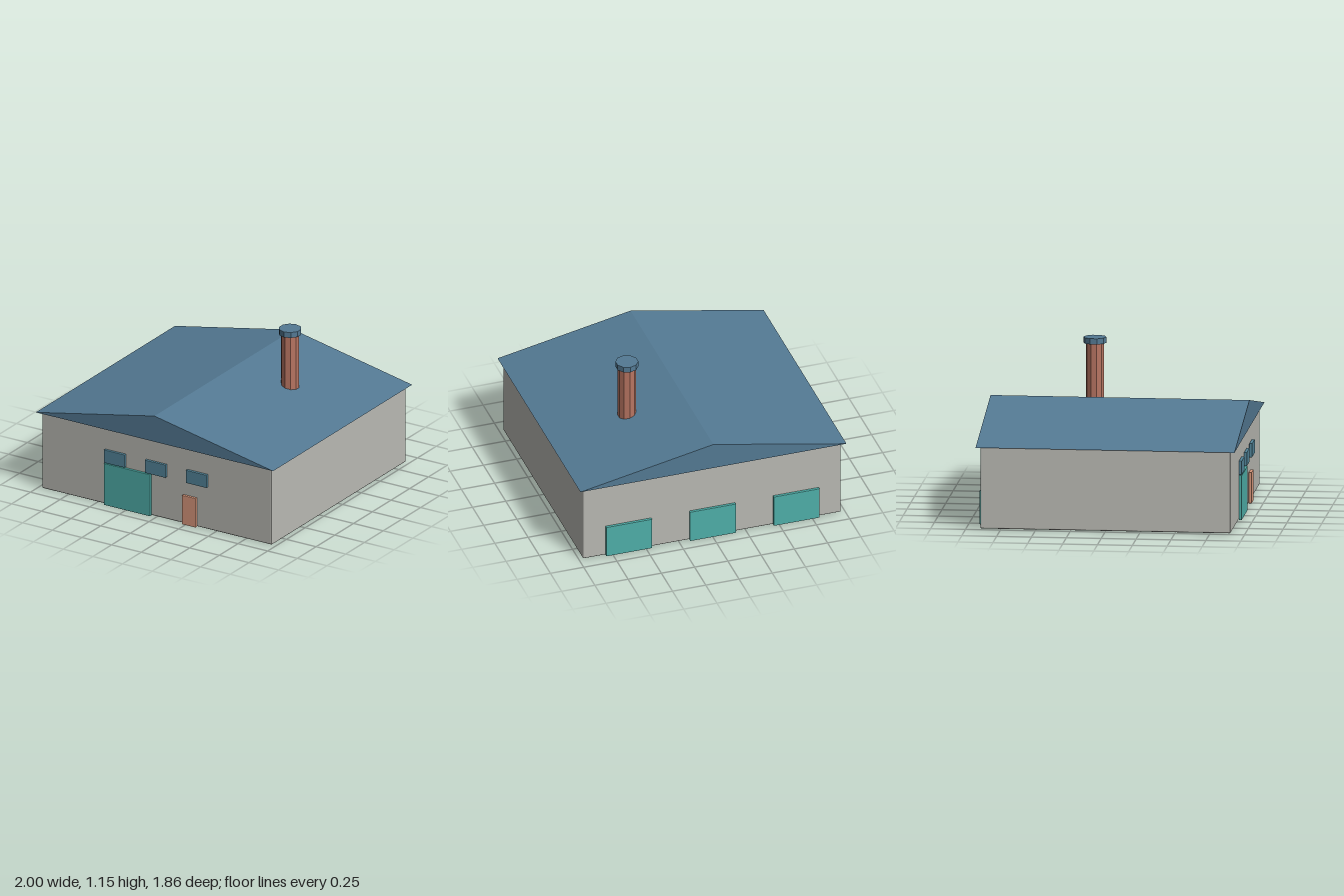
import * as THREE from 'three';
import { RoundedBoxGeometry } from 'three/addons/geometries/RoundedBoxGeometry.js';

const mat = (color) => new THREE.MeshStandardMaterial({ color, flatShading: true });
const wallMat = mat(0xbabab4), roofMat = mat(0x547a94), glassMat = mat(0x54879c);
const shutterMat = mat(0x4fb0aa), doorMat = mat(0xdc9a7e), brickMat = mat(0xb87562);
const floorMat = mat(0xd8d0b8);

export function createModel() {
  const house = new THREE.Group();
  house.name = 'building';

  const add = (name, geometry, material, x, y, z) => {
    const mesh = new THREE.Mesh(geometry, material);
    mesh.name = name;
    mesh.position.set(x, y, z);
    house.add(mesh);
    return mesh;
  };

  // Flat panel on the front (side = 1) or back (side = -1) wall
  const panel = (name, material, x, bottom, w, h, side = 1) =>
    add(name, new RoundedBoxGeometry(w, h, 0.022, 1, 0.003), material, x, bottom + h / 2, side * 0.909);

  // Walls with slightly softened edges
  add('walls', new RoundedBoxGeometry(1.94, 0.592, 1.794, 2, 0.01), wallMat, 0, 0.299, 0);

  // Floor slab of the corner room, showing underneath
  add('roomFloor', new THREE.BoxGeometry(0.54, 0.01, 0.45), floorMat, 0.58, 0.006, 0.59);

  // Gable roof with overhang all round
  const gable = new THREE.Shape();
  gable.moveTo(-1, 0.594);
  gable.lineTo(1, 0.594);
  gable.lineTo(0, 0.793);
  gable.closePath();
  add('roof', new THREE.ExtrudeGeometry(gable, { depth: 1.856, bevelEnabled: false }), roofMat, 0, 0, -0.928);

  // Front: three windows, a large gate and a small door
  for (const x of [-0.345, 0, 0.345]) panel('window', glassMat, x, 0.33, 0.174, 0.1);
  panel('frontGate', shutterMat, -0.238, 0.003, 0.39, 0.322);
  panel('frontDoor', doorMat, 0.283, 0.003, 0.116, 0.225);

  // Back: three loading gates
  for (const x of [-0.63, 0, 0.63]) panel('backGate', shutterMat, x, 0.003, 0.345, 0.245, -1);

  // Ten-sided chimney with cap
  add('chimney', new THREE.CylinderGeometry(0.065, 0.065, 0.5, 10), brickMat, 0.415, 0.865, -0.225);
  add('chimneyCap', new THREE.CylinderGeometry(0.082, 0.082, 0.042, 10), roofMat, 0.415, 1.132, -0.225);

  return house;
}
